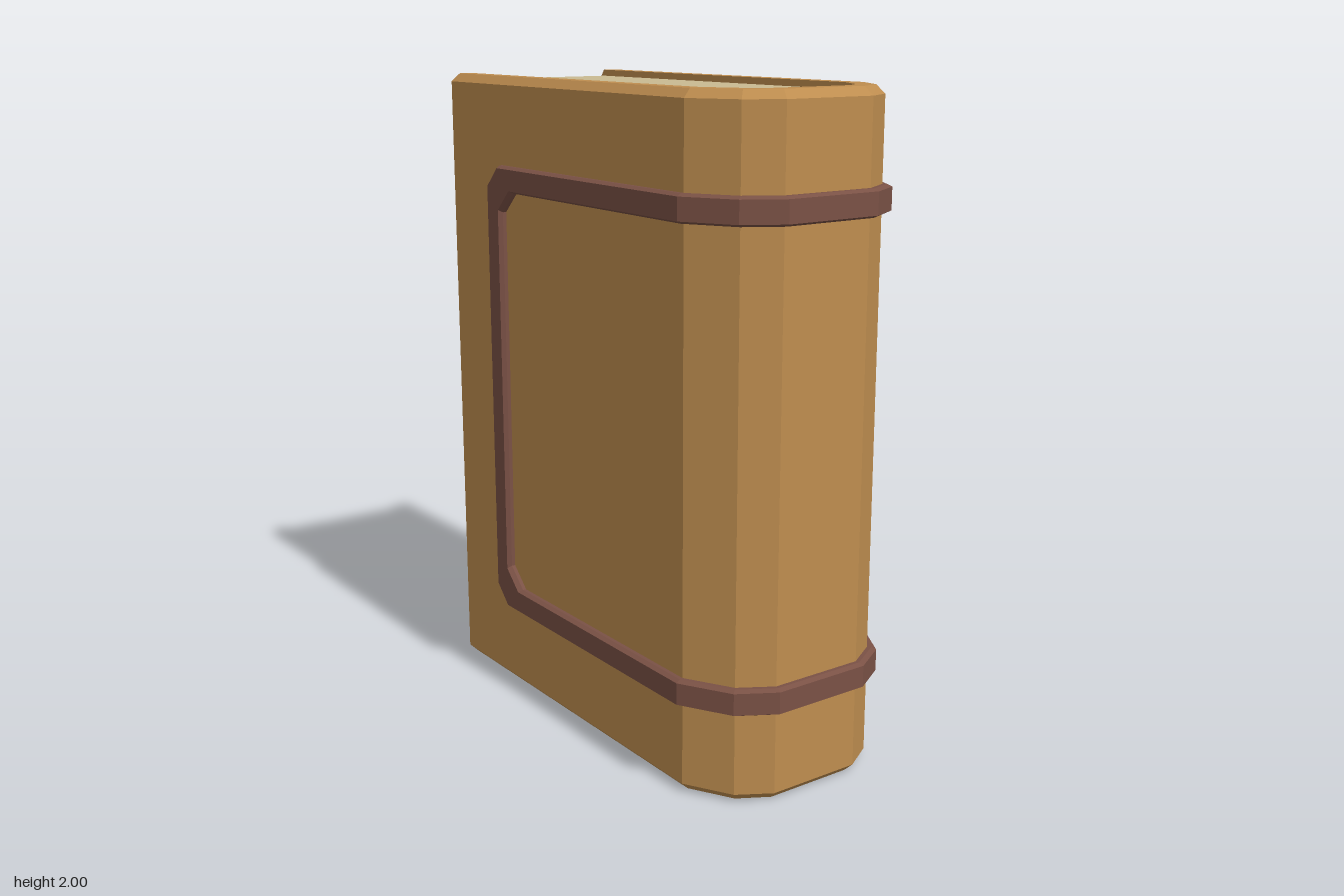
import * as THREE from 'three';

const leather = new THREE.MeshStandardMaterial({ color: 0xbe8d4f });
leather.name = 'tan leather';
const strapLeather = new THREE.MeshStandardMaterial({ color: 0x7a5145 });
strapLeather.name = 'brown strap';
const paper = new THREE.MeshStandardMaterial({ color: 0xc9ba92 });
paper.name = 'paper';

// Joins equal-sized rings of Vector3 into a flat-shaded skin.
// loop: joins the last ring to the first; otherwise both ends get horizontal caps.
function loft(rings, loop) {
  const out = [];
  const tri = (...pts) => pts.forEach((p) => out.push(p.x, p.y, p.z));
  const steps = loop ? rings.length : rings.length - 1;
  for (let i = 0; i < steps; i++) {
    const a = rings[i], b = rings[(i + 1) % rings.length];
    for (let j = 0; j < a.length; j++) {
      const k = (j + 1) % a.length;
      tri(a[j], a[k], b[k]);
      tri(a[j], b[k], b[j]);
    }
  }
  if (!loop) {
    [[rings[0], -1], [rings[rings.length - 1], 1]].forEach(([ring, up]) => {
      const flat = ring.map((p) => new THREE.Vector2(p.x, p.z));
      THREE.ShapeUtils.triangulateShape(flat, []).forEach(([i, j, k]) => {
        const [a, b, c] = [ring[i], ring[j], ring[k]];
        const ny = (b.z - a.z) * (c.x - a.x) - (b.x - a.x) * (c.z - a.z);
        if (ny * up > 0) tri(a, b, c);
        else tri(a, c, b);
      });
    });
  }
  const geo = new THREE.BufferGeometry();
  geo.setAttribute('position', new THREE.Float32BufferAttribute(out, 3));
  geo.computeVertexNormals();
  return geo;
}

// Mirrors half an (x, z) outline and places it at height y
const outline = (half, y) =>
  [...half, ...half.map(([x, z]) => [-x, z]).reverse()].map(([x, z]) => new THREE.Vector3(x, y, z));

function makeMesh(name, geo, material) {
  const mesh = new THREE.Mesh(geo, material);
  mesh.name = name;
  return mesh;
}

export function createModel() {
  const book = new THREE.Group();
  book.name = 'book';

  // Wrap-around cover: U section, outer edges chamfered at top and bottom
  const inner = [[0.255, 0.5], [0.195, 0.61], [0.14, 0.65]];
  const full = [[0.15, 0.73], [0.25, 0.67], [0.33, 0.53], [0.33, -0.735], [0.305, -0.755], [0.257, -0.75], ...inner];
  const inset = [[0.14, 0.705], [0.232, 0.652], [0.305, 0.523], [0.305, -0.725], [0.29, -0.733], [0.257, -0.731], ...inner];
  book.add(makeMesh('cover', loft([
    outline(inset, 0), outline(full, 0.025), outline(full, 1.975), outline(inset, 2),
  ], false), leather));

  // Page block, slightly recessed from the cover edges
  const pageHalf = [[0.145, 0.655], [0.2, 0.614], [0.26, 0.502], [0.26, -0.725]];
  book.add(makeMesh('pages', loft([outline(pageHalf, 0.02), outline(pageHalf, 1.98)], false), paper));

  // Strap path, upper half on the +x side: centre, outward direction, half width
  const quarter = [
    { p: [0.33, 1.628, -0.442], o: [1, 0, 0], w: [0, 0.042, -0.038] },
    { p: [0.33, 1.69, -0.378], o: [1, 0, 0], w: [0, 0.04, -0.042] },
    { p: [0.33, 1.69, 0.53], o: [1, 0, 0.27], w: [0, 0.04, 0] },
    { p: [0.25, 1.69, 0.67], o: [0.75, 0, 0.75], w: [0, 0.04, 0] },
    { p: [0.15, 1.69, 0.73], o: [0.27, 0, 1], w: [0, 0.04, 0] },
  ];
  const flipX = ([x, y, z]) => [-x, y, z];
  const flipY = ([x, y, z]) => [x, -y, z];
  const top = [...quarter, ...quarter.map((s) => ({ p: flipX(s.p), o: flipX(s.o), w: s.w })).reverse()];
  const bottom = top.map(({ p, o, w }) => ({ p: [p[0], 2.005 - p[1], p[2]], o, w: flipY(w) })).reverse();

  // Chamfered strap section: (fraction of half width, height above the cover)
  const section = [[-1, -0.01], [-1, 0.012], [-0.82, 0.026], [0.82, 0.026], [1, 0.012], [1, -0.01]];
  const rings = [...top, ...bottom].map(({ p, o, w }) => section.map(([s, h]) =>
    new THREE.Vector3(...p.map((v, i) => v + w[i] * s + o[i] * h))));
  book.add(makeMesh('strap', loft(rings, true), strapLeather));

  return book;
}
